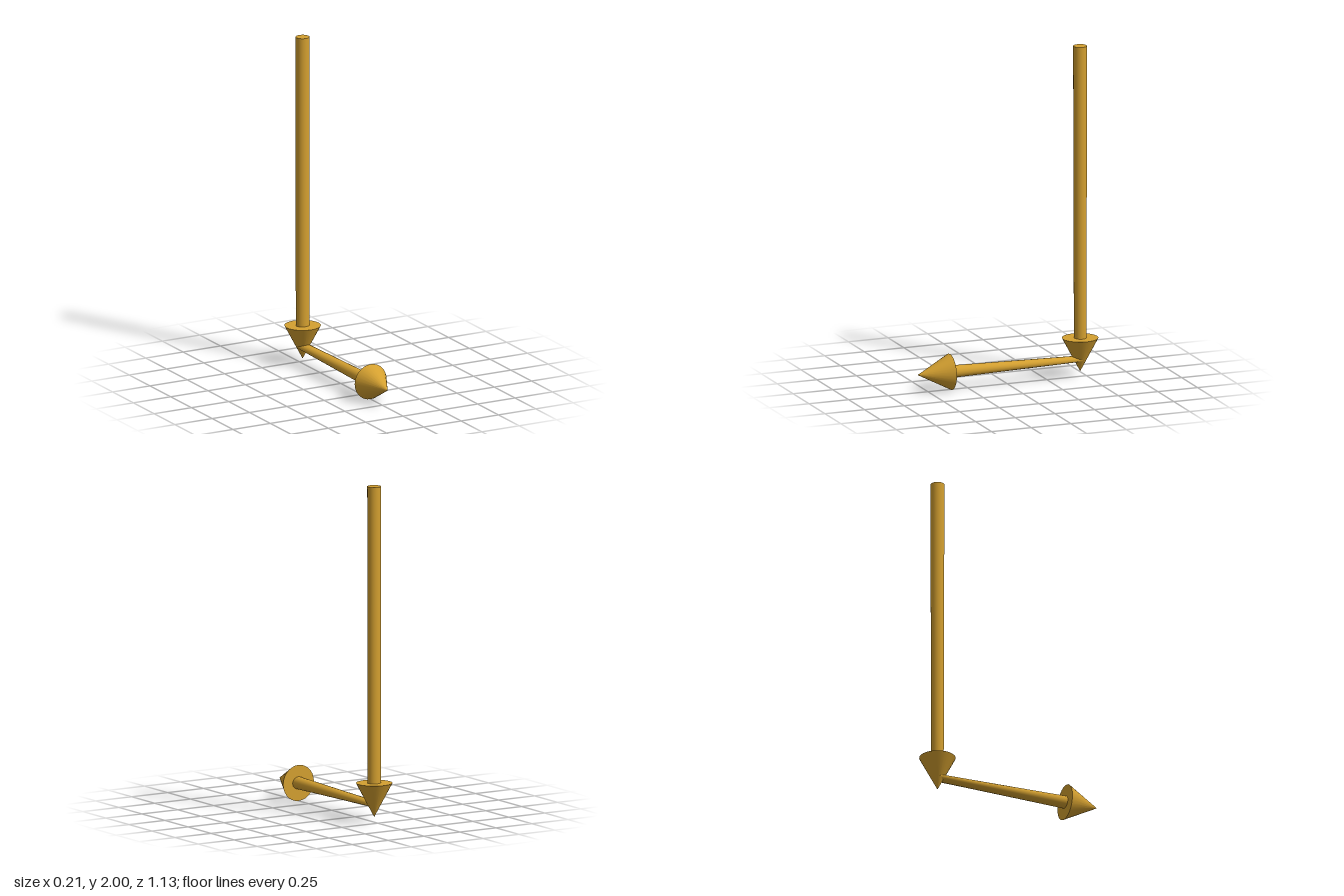
import * as THREE from 'three';

const SIDES = 28;

export function createModel() {
  const model = new THREE.Group();
  const gold = new THREE.MeshStandardMaterial({ color: 0xd4a030 });
  gold.name = 'gold';

  // Arrow pointing along +y from its own origin; the shaft is flattened in local z towards the tail
  function arrow(name, shaftLength, headLength, tailDepth, neckDepth) {
    const group = new THREE.Group();
    group.name = name;

    const shaftGeometry = new THREE.CylinderGeometry(0.041, 0.041, shaftLength, SIDES);
    shaftGeometry.translate(0, shaftLength / 2, 0);
    const p = shaftGeometry.attributes.position;
    for (let i = 0; i < p.count; i++) {
      const depth = THREE.MathUtils.lerp(tailDepth, neckDepth, p.getY(i) / shaftLength);
      p.setZ(i, p.getZ(i) * depth / 0.041);
    }
    const shaft = new THREE.Mesh(shaftGeometry, gold);
    shaft.name = name + 'Shaft';

    const head = new THREE.Mesh(new THREE.ConeGeometry(0.107, headLength, SIDES), gold);
    head.name = name + 'Head';
    head.position.y = shaftLength + headLength / 2;

    group.add(shaft, head);
    model.add(group);
    return group;
  }

  // Tall arrow pointing down
  const down = arrow('downArrow', 1.765, 0.203, 0.041, 0.036);
  down.rotation.x = Math.PI;
  down.position.set(0, 2, -0.46);

  // Short arrow pointing forward from the tip of the tall one
  const forward = arrow('forwardArrow', 0.82, 0.205, 0.016, 0.037);
  forward.rotation.x = Math.PI / 2;
  forward.position.set(0, 0.108, -0.46);

  return model;
}
